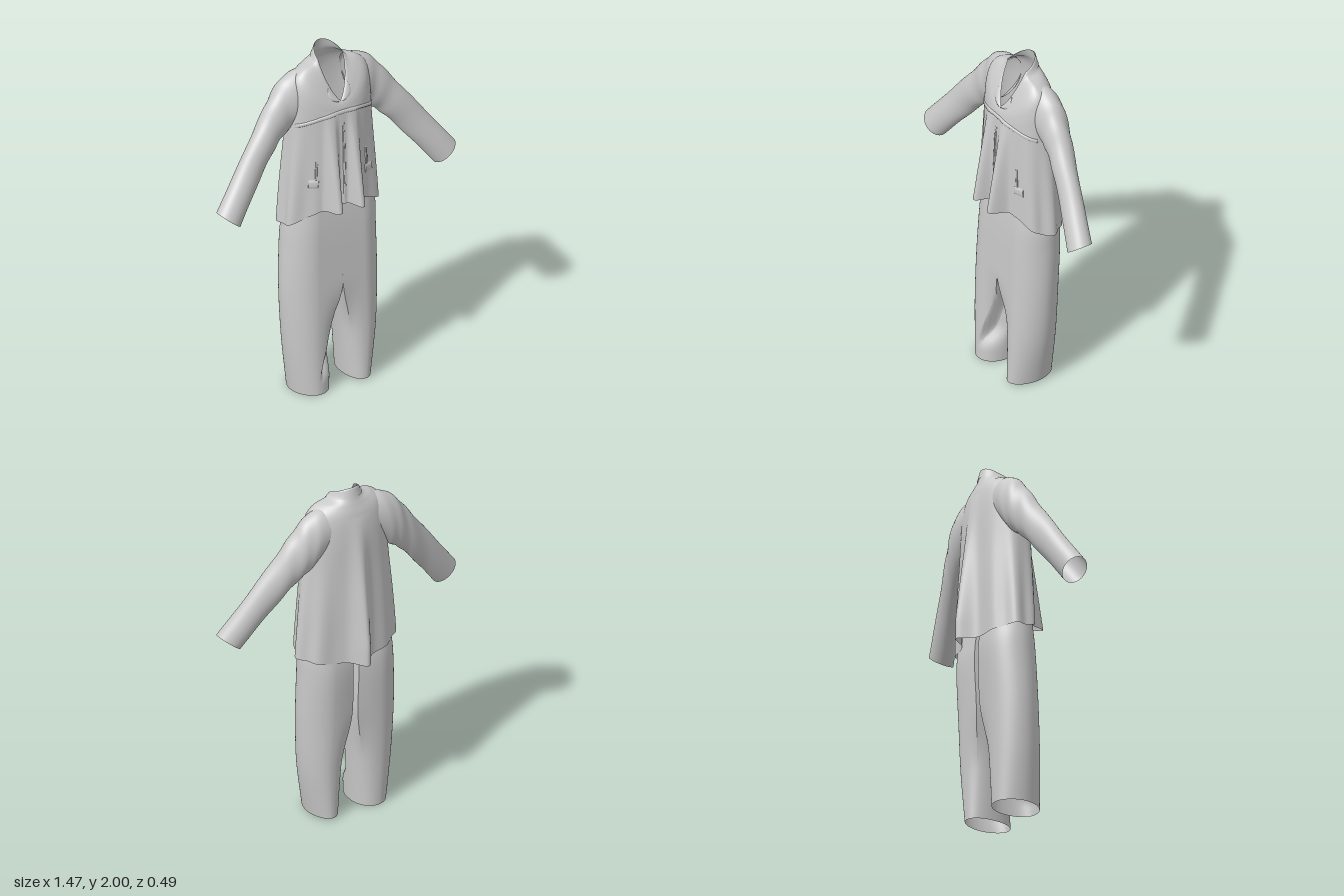
import * as THREE from 'three';

const cloth = new THREE.MeshStandardMaterial({ color: 0xcacaca, side: THREE.DoubleSide });
cloth.name = 'light grey cloth';

const { clamp, lerp, smoothstep } = THREE.MathUtils;
const spow = (v, e) => Math.sign(v) * Math.pow(Math.abs(v), e);
const bump = (x, c, w, p = 2) => Math.exp(-(Math.abs((x - c) / w) ** p));

// Smoothly interpolates a table of cross-section rows, t from 0 to 1
function sample(rows, t) {
  const f = clamp(t, 0, 1) * (rows.length - 1);
  const i = Math.min(Math.floor(f), rows.length - 2), k = f - i;
  const at = (j) => rows[clamp(j, 0, rows.length - 1)];
  return rows[i].map((b, n) => {
    const a = at(i - 1)[n], c = at(i + 1)[n], d = at(i + 2)[n];
    return b + 0.5 * k * (c - a + k * (2 * a - 5 * b + 4 * c - d + k * (3 * (b - c) + d - a)));
  });
}

// Grid surface from point(u, v); a closed grid wraps around in u
function surface(name, nu, nv, point, closed = false) {
  const pos = [], index = [], cols = closed ? nu : nu + 1;
  for (let j = 0; j <= nv; j++) {
    for (let i = 0; i < cols; i++) pos.push(...point(i / nu, j / nv));
  }
  for (let j = 0; j < nv; j++) {
    for (let i = 0; i < nu; i++) {
      const a = j * cols + i, b = j * cols + ((i + 1) % cols);
      index.push(a, a + cols, b, b, a + cols, b + cols);
    }
  }
  const geo = new THREE.BufferGeometry();
  geo.setAttribute('position', new THREE.Float32BufferAttribute(pos, 3));
  geo.setIndex(index);
  geo.computeVertexNormals();
  const mesh = new THREE.Mesh(geo, cloth);
  mesh.name = name;
  return mesh;
}

// Jacket rows: side y, front y, back y, half width, front z, back z, roundness
const JACKET = [
  [1.01, 1.12, 0.98, 0.297, 0.150, -0.158, 0.94],
  [1.28, 1.30, 1.28, 0.277, 0.150, -0.158, 0.94],
  [1.52, 1.52, 1.52, 0.256, 0.147, -0.153, 0.94],
  [1.68, 1.64, 1.68, 0.246, 0.142, -0.148, 0.94],
  [1.78, 1.68, 1.78, 0.238, 0.137, -0.140, 0.94],
  [1.86, 1.70, 1.85, 0.215, 0.132, -0.128, 0.94],
  [1.905, 1.71, 1.90, 0.165, 0.128, -0.112, 1.0],
  [1.925, 1.72, 1.94, 0.100, 0.122, -0.099, 1.3],
  [1.948, 1.725, 2.00, 0.076, 0.115, -0.085, 1.6],
];

function jacketPoint(a, t, off = 0) {
  const [ys, yf, yb, w, zf, zb, e] = sample(JACKET, t);
  const c = Math.cos(a), s = Math.sin(a);
  const ex = s > 0 ? e : Math.min(e, 1), ez = Math.min(e, 1);
  const y = ys + ((s > 0 ? yf : yb) - ys) * Math.abs(s) ** lerp(2, 1.15, t ** 4);
  let x = w * spow(c, ex);
  let z = (zf + zb) / 2 + ((zf - zb) / 2) * spow(s, ez);
  // hanging pleats and soft waves growing towards the hem
  const front = clamp((1.68 - y) / 0.56, 0, 1), back = clamp((1.84 - y) / 0.75, 0, 1);
  if (s > 0) z += 0.095 * front * (bump(x, -0.075, 0.034, 3) + bump(x, 0.062, 0.034, 3)) + 0.015 * front * bump(x, 0, 0.02);
  else z -= 0.09 * back * bump(x, 0, 0.048);
  const wave = 0.010 * front * Math.cos(9 * a + 0.6) * Math.abs(c);
  x += (wave + off) * c;
  z += (wave + off) * s;
  return [x, y, z];
}

// Finds the jacket surface at angle a and height y
function onJacket(a, y, off) {
  let lo = 0, hi = 0.7;
  for (let i = 0; i < 22; i++) {
    const mid = (lo + hi) / 2;
    if (jacketPoint(a, mid)[1] < y) lo = mid; else hi = mid;
  }
  return jacketPoint(a, lo, off);
}

// Raised strip lying on the jacket, turned in at its edges
function patch(name, a0, a1, low, high, n = 24) {
  return surface(name, n, 5, (u, v) => {
    const a = lerp(a0, a1, u);
    const edge = v === 0 || v === 1 || u === 0 || u === 1;
    return onJacket(a, lerp(low(a), high(a), v), edge ? -0.002 : 0.005);
  });
}

// Sleeve rows: top x, top y, bottom x, bottom y, centre z, half depth
const SLEEVE = [
  [0.12, 1.900, 0.18, 1.62, -0.026, 0.088],
  [0.210, 1.885, 0.228, 1.575, -0.033, 0.087],
  [0.285, 1.835, 0.268, 1.540, -0.034, 0.080],
  [0.350, 1.755, 0.320, 1.500, -0.024, 0.073],
  [0.435, 1.642, 0.385, 1.430, -0.006, 0.067],
  [0.580, 1.446, 0.490, 1.300, 0.030, 0.062],
  [0.735, 1.240, 0.612, 1.140, 0.073, 0.066],
];

function sleeve(side) {
  return surface(side > 0 ? 'leftSleeve' : 'rightSleeve', 40, 42, (u, v) => {
    const [tx, ty, bx, by, cz, rz] = sample(SLEEVE, v);
    const a = -side * u * Math.PI * 2, k = Math.cos(a);
    const fold = 0.002 * Math.sin(v * 26 + 2 * a) * Math.sin(Math.PI * v);
    return [
      side * ((tx + bx) / 2 + ((tx - bx) / 2) * k + fold * k),
      (ty + by) / 2 + ((ty - by) / 2) * k + fold * k,
      cz + (rz + fold) * Math.sin(a),
    ];
  }, true);
}

// Leg rows: y, outer x, inner x, front z, back z
const LEGS = {
  rightLeg: [
    [0.005, -0.257, -0.052, 0.163, -0.105],
    [0.30, -0.288, -0.030, 0.155, -0.115],
    [0.60, -0.300, 0.000, 0.145, -0.128],
    [0.88, -0.288, 0.000, 0.134, -0.140],
    [1.02, -0.274, 0.000, 0.125, -0.130],
    [1.16, -0.250, 0.000, 0.110, -0.110],
  ],
  leftLeg: [
    [0.015, 0.210, 0.060, 0.160, -0.105],
    [0.30, 0.258, 0.036, 0.153, -0.115],
    [0.60, 0.276, 0.000, 0.145, -0.128],
    [0.88, 0.276, 0.000, 0.134, -0.140],
    [1.02, 0.274, 0.000, 0.125, -0.130],
    [1.16, 0.250, 0.000, 0.110, -0.110],
  ],
};

function legPoint(name, a, v) {
  const side = name === 'leftLeg' ? 1 : -1;
  const [y, xo, xi, zf, zb] = sample(LEGS[name], v);
  const c = Math.cos(a), s = Math.sin(a);
  const e = c > 0 ? 1.08 : 0.9;
  let px = spow(c, e), pz = spow(s, e);
  // the inner half squares up above the crotch: fully in front, less behind
  if (c < 0) {
    const k = smoothstep(y, 0.3, 0.66) * (s > 0 ? 1 : 0.55), m = Math.max(-c, Math.abs(s));
    px = lerp(px, c / m, k);
    pz = lerp(pz, s / m, k);
  }
  const x = (xo + xi) / 2 + ((xo - xi) / 2) * px;
  let z = (zf + zb) / 2 + ((zf - zb) / 2) * pz;
  // slanting fold on the front of the right leg
  if (side < 0 && s > 0) {
    const line = lerp(-0.15, 0.05, (y - 0.12) / 0.62);
    z -= 0.08 * s * smoothstep(x, line, line + 0.018) * (1 - smoothstep(y, 0.4, 0.6)) * smoothstep(y, 0.08, 0.22);
  }
  return [x, y, z];
}

// Outer wrap of a leg and its inseam, meeting along the inner edges
function leg(name) {
  const group = new THREE.Group();
  group.name = name;
  const flip = name === 'leftLeg' ? 1 : -1, q = Math.PI * 0.75;
  group.add(surface('legWrap', 80, 60, (u, v) => legPoint(name, flip * lerp(-q, q, u), v)));
  group.add(surface('inseam', 24, 60, (u, v) => legPoint(name, flip * lerp(q, 2 * Math.PI - q, u), v)));
  return group;
}

export function createModel() {
  const model = new THREE.Group();
  model.name = 'jacketAndTrousers';

  const jacket = new THREE.Group();
  jacket.name = 'jacket';
  jacket.add(surface('jacketBody', 280, 72, (u, v) => jacketPoint(u * Math.PI * 2, v), true));

  // turned-over collar around the neck
  jacket.add(surface('collar', 80, 8, (u, v) => {
    const a = lerp(1.62, Math.PI * 2 + 1.52, u);
    return jacketPoint(a, lerp(0.89, 1, v), v === 1 ? 0 : 0.005);
  }));

  // yoke seam band across the chest
  const bandY = (a) => 1.592 + 0.063 * Math.sin(a) ** 2;
  jacket.add(patch('chestBand', 0.3, Math.PI - 0.3, bandY, (a) => bandY(a) + 0.024, 80));

  // centre placket
  jacket.add(patch('placket', 1.555, 1.60, () => 1.13, () => 1.64, 6));

  for (const side of [1, -1]) {
    const ang = (a) => (side > 0 ? a : Math.PI - a);
    // lapels, pocket welts and sleeves
    jacket.add(surface('lapel', 12, 6, (u, v) => {
      const t0 = lerp(0.9, 0.7, Math.sin(Math.PI * Math.min(1, u * 1.2) * 0.5)) + 0.2 * u * u;
      return jacketPoint(ang(lerp(0.75, 1.5, u)), lerp(t0, 1, v), v === 0 ? 0.002 : 0.008);
    }));
    jacket.add(patch('pocketWelt', ang(0.80), ang(1.05), () => 1.24, (a) => 1.28 + 0.02 * Math.sin(a)));
    jacket.add(patch('pocketSide', ang(0.95), ang(1.01), () => 1.28, () => 1.41, 6));
    jacket.add(sleeve(side));
  }
  model.add(jacket);

  const trousers = new THREE.Group();
  trousers.name = 'trousers';
  trousers.add(leg('leftLeg'), leg('rightLeg'));
  model.add(trousers);
  return model;
}
